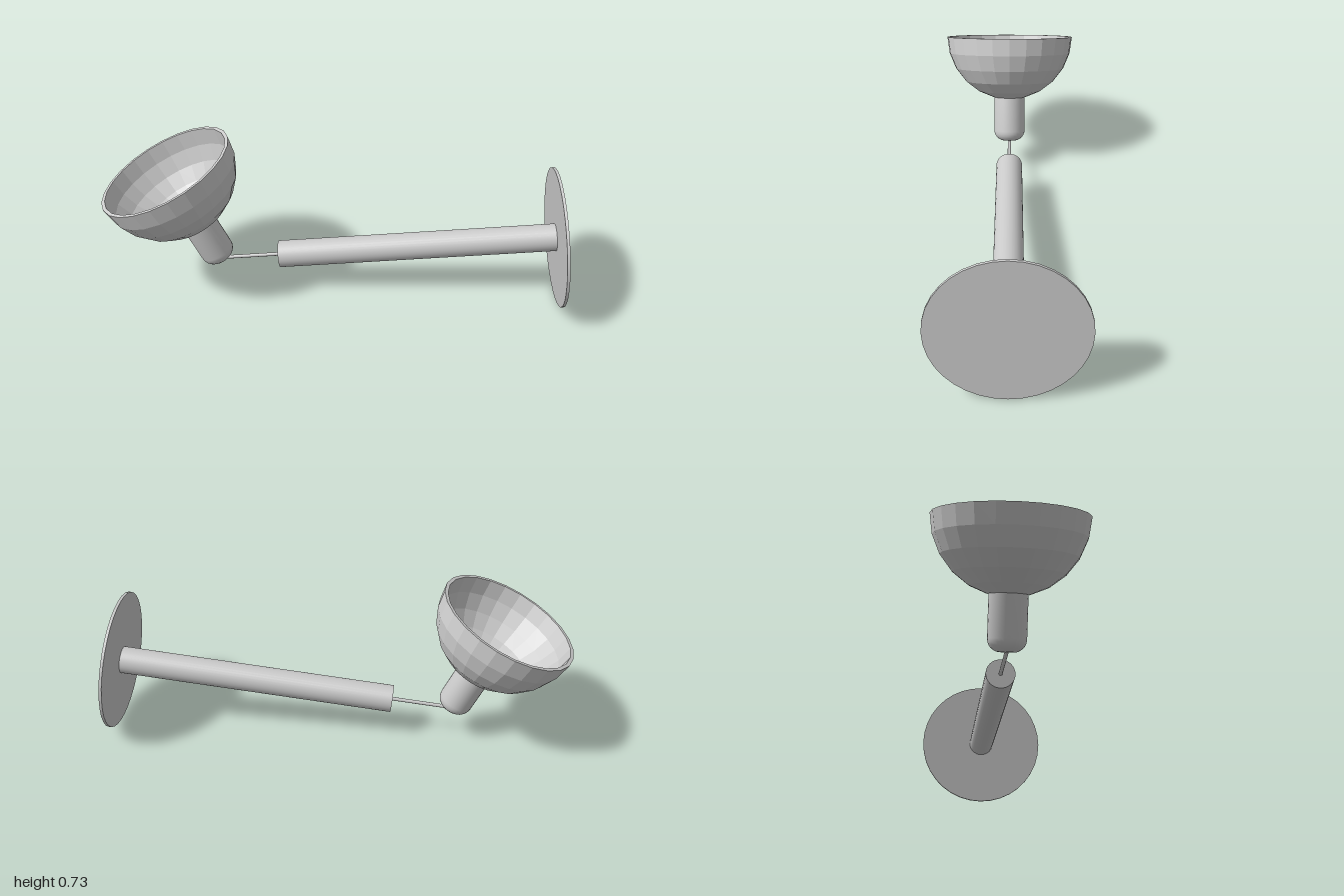
import * as THREE from 'three';
import { toCreasedNormals } from 'three/addons/utils/BufferGeometryUtils.js';

const grey = new THREE.MeshStandardMaterial({ color: 0xcccccc });
const rad = THREE.MathUtils.degToRad;
const v2 = (x, y) => new THREE.Vector2(x, y);

function addMesh(parent, name, geometry) {
  const mesh = new THREE.Mesh(geometry, grey);
  mesh.name = name;
  parent.add(mesh);
  return mesh;
}

// Points of a circular arc, angles in degrees
function arc(cx, cy, r, from, to, steps) {
  return Array.from({ length: steps + 1 }, (_, i) => {
    const a = rad(from + ((to - from) * i) / steps);
    return v2(cx + r * Math.cos(a), cy + r * Math.sin(a));
  });
}

export function createModel() {
  const model = new THREE.Group();
  model.name = 'lamp';

  // Stand: base disc, pole and thin rod share one axis (local y), base at the origin
  const stand = new THREE.Group();
  stand.name = 'stand';
  stand.position.set(0.967, 0.307, 0);
  stand.rotation.z = rad(6.1 - 90);
  model.add(stand);

  const rodAlong = (name, radius, from, to, sides) => {
    const mesh = addMesh(stand, name, new THREE.CylinderGeometry(radius, radius, to - from, sides));
    mesh.position.y = (from + to) / 2;
  };
  rodAlong('base', 0.305, -0.012, 0, 36);
  rodAlong('pole', 0.06, -1.227, -0.006, 32);
  rodAlong('thinRod', 0.008, -1.505, -1.22, 12);

  // Head: local origin at the centre of the shade's rim, local y out of the opening
  const head = new THREE.Group();
  head.name = 'head';
  head.position.set(-0.725, 0.61, 0);
  head.rotation.z = rad(24.4);
  model.add(head);

  // Faceted half-sphere shade with a wall and a hole for the socket
  const shadeProfile = [
    ...arc(0, 0, 0.303, -75, 0, 5),
    ...arc(0, 0, 0.288, 0, -75, 5),
  ];
  const shade = new THREE.LatheGeometry(shadeProfile, 24).toNonIndexed();
  shade.computeVertexNormals();
  addMesh(head, 'shade', shade);

  // Hollow socket with a rounded closed end
  const socketProfile = [
    v2(0, -0.508),
    ...arc(0.025, -0.458, 0.05, -90, 0, 6),
    v2(0.075, -0.28),
    v2(0.066, -0.28),
    ...arc(0.025, -0.458, 0.041, 0, -90, 6),
    v2(0, -0.499),
  ];
  addMesh(head, 'socket', toCreasedNormals(new THREE.LatheGeometry(socketProfile, 32), rad(40)));

  return model;
}
